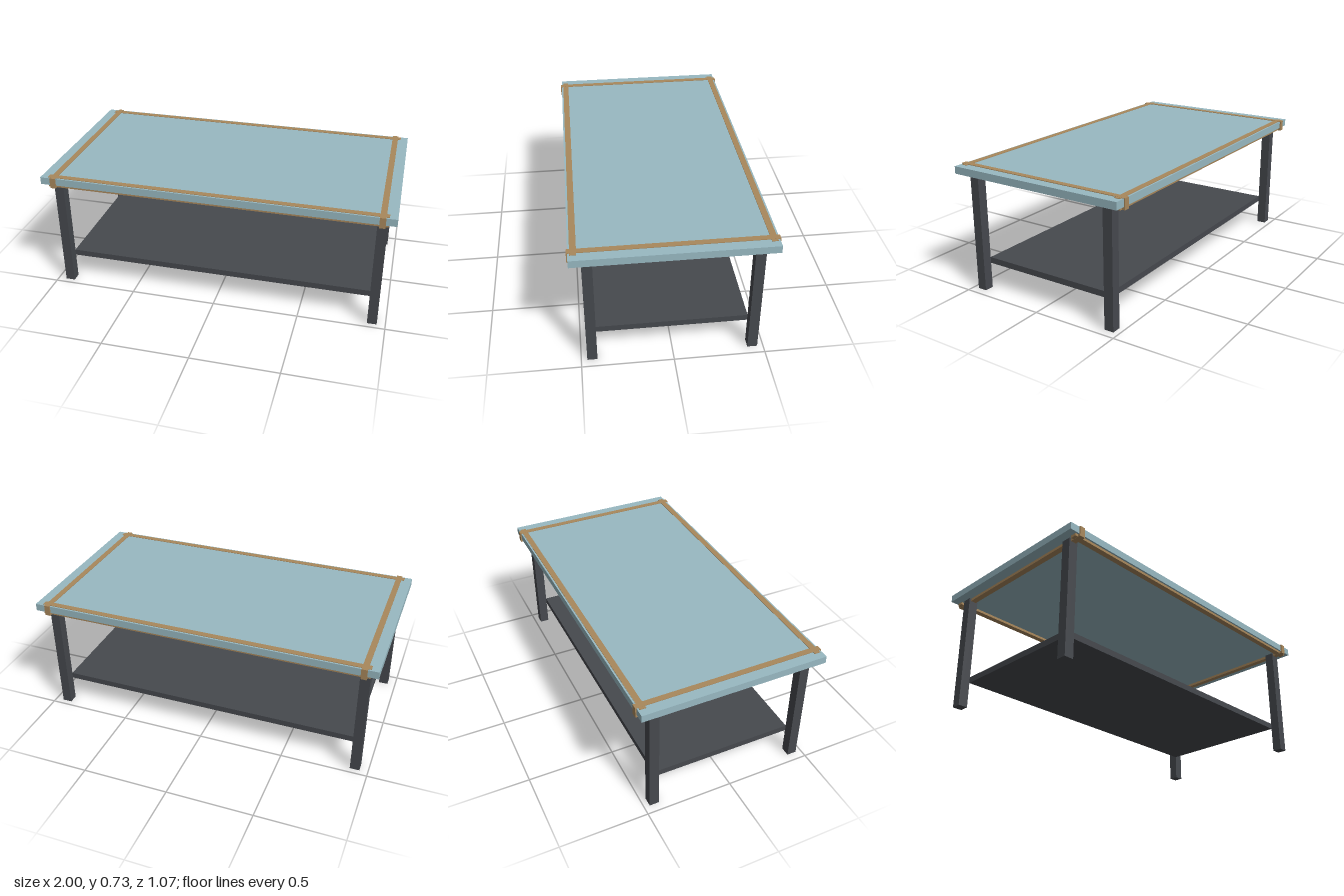
import * as THREE from 'three';

export function createModel() {
  const group = new THREE.Group();
  const paleBlue = new THREE.MeshStandardMaterial({ color: 0x98b9c2 });
  paleBlue.name = 'paleBlue';
  const tanWood = new THREE.MeshStandardMaterial({ color: 0xa9885c });
  tanWood.name = 'tanWood';
  const charcoal = new THREE.MeshStandardMaterial({ color: 0x46494e });
  charcoal.name = 'charcoal';

  // Box placed by its centre in plan and its bottom and top heights
  function box(name, material, width, depth, bottom, top, x = 0, z = 0) {
    const mesh = new THREE.Mesh(new THREE.BoxGeometry(width, top - bottom, depth), material);
    mesh.name = name;
    mesh.position.set(x, (bottom + top) / 2, z);
    group.add(mesh);
  }

  // Table top and lower shelf fitted between the legs
  box('tableTop', paleBlue, 2, 1.06, 0.685, 0.727);
  box('shelf', charcoal, 1.794, 0.826, 0.15, 0.185);

  for (const side of [-1, 1]) {
    // Inlaid rails, showing above and below the table top
    box('longRail', tanWood, 1.914, 0.034, 0.67, 0.7295, 0, side * 0.503);
    box('crossRail', tanWood, 0.033, 1.074, 0.669, 0.73, side * 0.924, 0);
    // Square legs
    for (const end of [-1, 1]) {
      box('leg', charcoal, 0.055, 0.055, 0, 0.686, side * 0.924, end * 0.44);
    }
  }
  return group;
}
